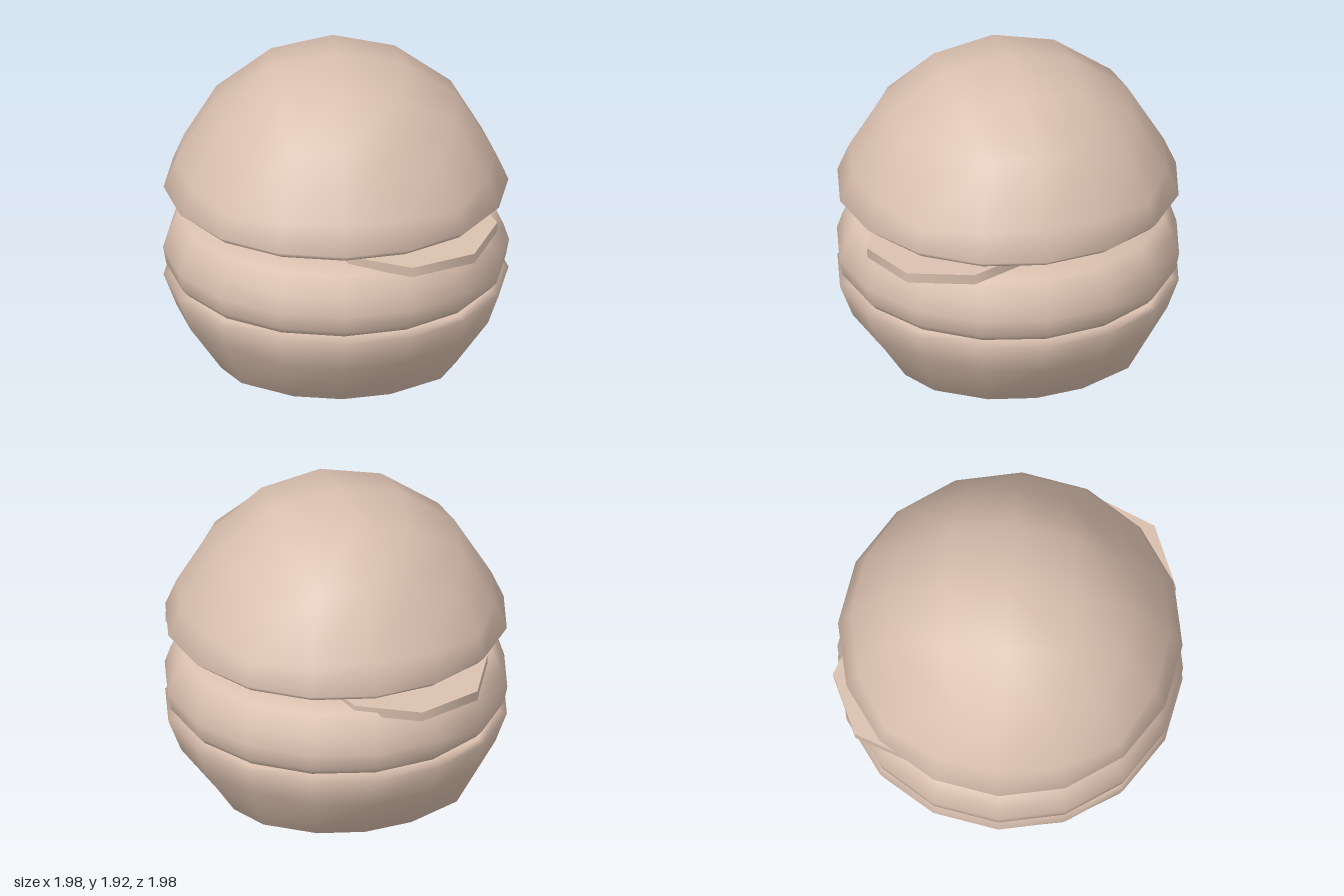
import * as THREE from 'three';
import { mergeVertices } from 'three/addons/utils/BufferGeometryUtils.js';

const material = new THREE.MeshStandardMaterial({ color: 0xd9bfae });

function addPart(parent, name, geometry) {
  const mesh = new THREE.Mesh(geometry, material);
  mesh.name = name;
  parent.add(mesh);
  return mesh;
}

// Piecewise-linear lookup: table of [input, output] in rising order
function lookup(table, s) {
  for (let i = 1; i < table.length; i++) {
    const [a, ya] = table[i - 1], [b, yb] = table[i];
    if (s <= b || i === table.length - 1) {
      return THREE.MathUtils.lerp(ya, yb, THREE.MathUtils.clamp((s - a) / (b - a), 0, 1));
    }
  }
}

// Rounded cube of 4 x 4 patches, its height remapped to make a bun
function bunGeometry(radius, heights) {
  let g = new THREE.BoxGeometry(2, 2, 2, 4, 4, 4);
  g.deleteAttribute('uv');
  g.deleteAttribute('normal');
  g = mergeVertices(g);
  const p = g.attributes.position;
  const v = new THREE.Vector3();
  const bulge = (c) => Math.tan(c * Math.PI / 4);
  for (let i = 0; i < p.count; i++) {
    v.fromBufferAttribute(p, i);
    v.set(bulge(v.x), bulge(v.y), bulge(v.z)).normalize();
    p.setXYZ(i, v.x * radius, lookup(heights, v.y), v.z * radius);
  }
  g.computeVertexNormals();
  return g;
}

export function createModel() {
  const burger = new THREE.Group();
  burger.name = 'burger';

  // Bottom bun: shallow bowl with a flat top
  addPart(burger, 'bottomBun', bunGeometry(0.985, [
    [-1, 0], [-0.924, 0.02], [-0.707, 0.065], [-0.577, 0.12],
    [-0.383, 0.35], [0, 0.545], [0.383, 0.57], [1, 0.575],
  ]));

  // Patty: thick disc with a rounded rim and slightly domed top
  const pattyProfile = [
    [0, 0.57], [0.72, 0.57], [0.93, 0.575], [0.97, 0.62], [0.988, 0.72],
    [0.955, 0.82], [0.9, 0.94], [0.72, 0.965], [0.4, 0.985], [0, 0.99],
  ].map(([r, y]) => new THREE.Vector2(r, y));
  addPart(burger, 'patty', new THREE.LatheGeometry(pattyProfile, 16));

  // Two eight-sided pickle slices, each drooping outwards
  const slices = [
    ['frontPickle', 0.39, 0.995, 0.41, 0.06],
    ['backPickle', -0.26, 0.975, -0.485, -0.08],
  ];
  for (const [name, x, y, z, tilt] of slices) {
    const slice = addPart(burger, name, new THREE.CylinderGeometry(0.51, 0.51, 0.06, 8));
    slice.position.set(x, y, z);
    slice.rotation.x = tilt;
  }

  // Top bun: tall dome with a turned-in lower lip
  addPart(burger, 'topBun', bunGeometry(0.985, [
    [-1, 1.05], [-0.383, 1.045], [0, 1.1], [0.383, 1.27],
    [0.707, 1.63], [0.924, 1.855], [1, 1.925],
  ]));

  return burger;
}
